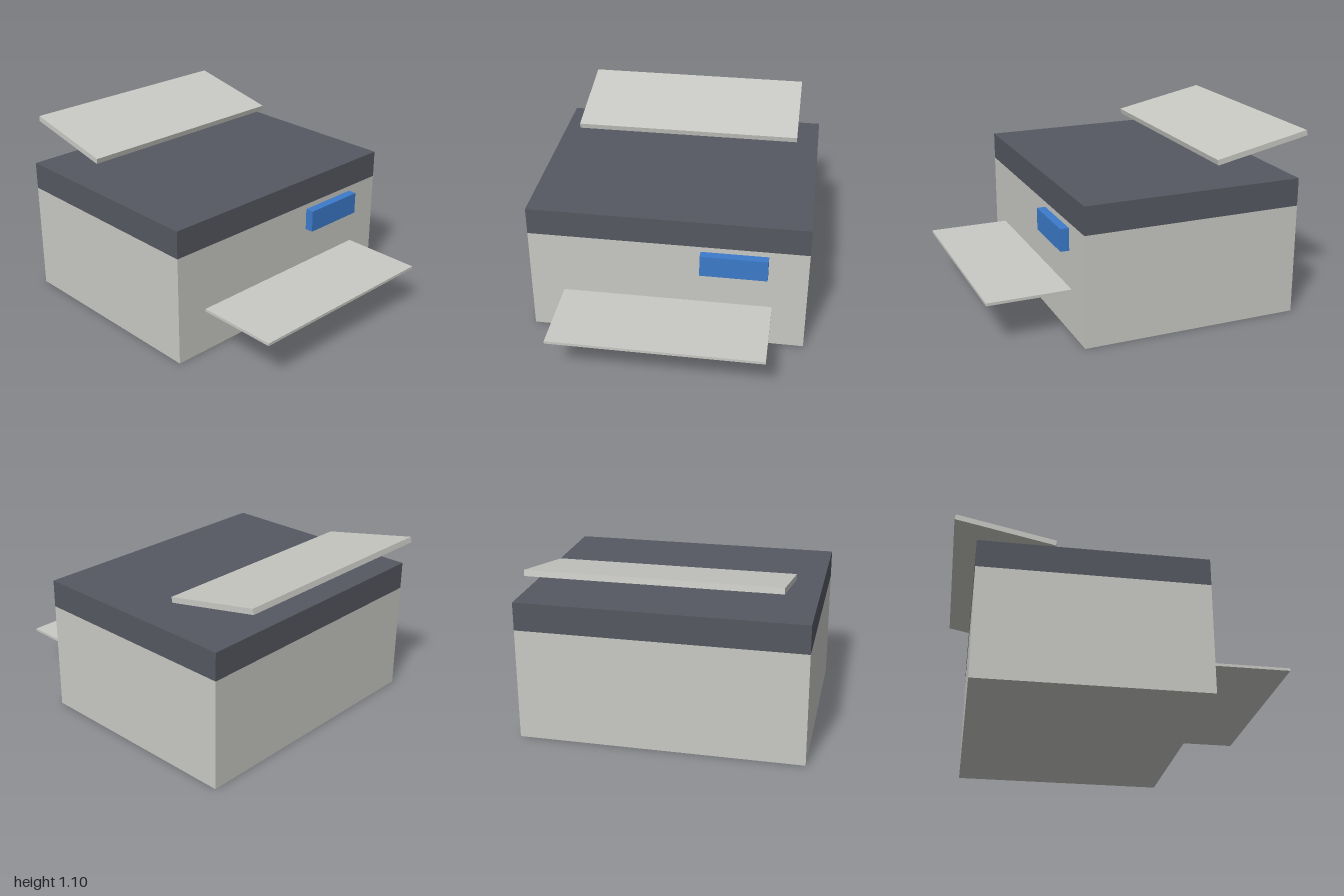
import * as THREE from 'three';

const material = (name, color) => {
  const m = new THREE.MeshStandardMaterial({ color });
  m.name = name;
  return m;
};

// Box given by its lower and upper corners
function block(name, mat, [x0, y0, z0], [x1, y1, z1]) {
  const mesh = new THREE.Mesh(new THREE.BoxGeometry(x1 - x0, y1 - y0, z1 - z0), mat);
  mesh.position.set((x0 + x1) / 2, (y0 + y1) / 2, (z0 + z1) / 2);
  mesh.name = name;
  return mesh;
}

export function createModel() {
  const casing = material('light grey casing', 0xc9c9c4);
  const dark = material('dark grey lid', 0x555861);
  const blue = material('blue panel', 0x3c7bcb);

  const model = new THREE.Group();
  model.name = 'printer';

  // Housing and lid
  model.add(block('body', casing, [-0.85, 0, -0.865], [0.85, 0.68, 0.49]));
  model.add(block('lid', dark, [-0.85, 0.68, -0.865], [0.85, 0.85, 0.49]));

  // Front control panel and paper output tray
  model.add(block('controlPanel', blue, [0.203, 0.51, 0.47], [0.61, 0.647, 0.543]));
  model.add(block('outputTray', casing, [-0.645, 0.265, 0.45], [0.643, 0.282, 1]));

  // Paper feed tray, rising towards the back
  const feed = new THREE.Mesh(new THREE.BoxGeometry(1.426, 0.034, 0.61), casing);
  feed.name = 'feedTray';
  feed.position.set(0, 1.02, -0.698);
  feed.rotation.x = 0.2;
  model.add(feed);

  return model;
}
